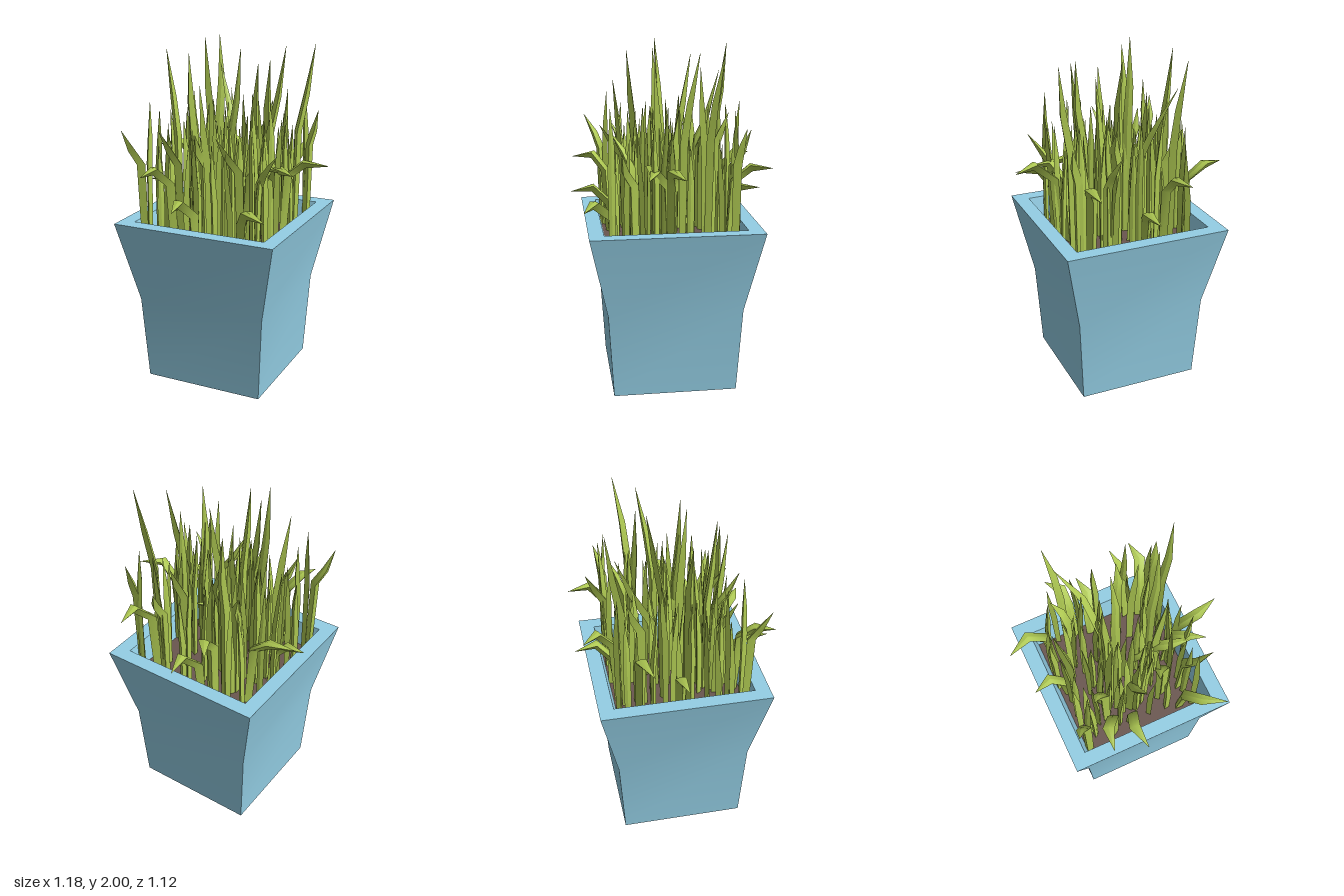
import * as THREE from 'three';
import { mergeGeometries } from 'three/addons/utils/BufferGeometryUtils.js';

const SOIL_Y = 0.84;
const POT_X = -0.016;

// Skin through rings of points: smooth along the length, sharp between sides.
function loft(rings) {
  const pos = [], index = [], n = rings[0].length;
  for (let k = 0; k < n; k++) {
    const base = pos.length / 3;
    rings.forEach((ring, i) => {
      pos.push(...ring[k].toArray(), ...ring[(k + 1) % n].toArray());
      if (i === 0) return;
      const a = base + 2 * (i - 1);
      index.push(a, a + 1, a + 3, a, a + 3, a + 2);
    });
  }
  const geometry = new THREE.BufferGeometry();
  geometry.setAttribute('position', new THREE.Float32BufferAttribute(pos, 3));
  geometry.setIndex(index);
  geometry.computeVertexNormals();
  return geometry;
}

// Horizontal square ring of half-width h at height y.
const square = (h, y) => [[h, h], [h, -h], [-h, -h], [-h, h]]
  .map(([x, z]) => new THREE.Vector3(x + POT_X, y, z));

// Four-sided blade that rises to yBend, then curves sideways and out to its tip.
function blade(fx, fz, tx, tz, yTip, yBend, width) {
  const dx = tx - fx, dz = tz - fz, len = Math.hypot(dx, dz);
  const droops = yTip - yBend < 0.15;
  const yMid = droops ? yTip + 0.025 : yBend + (yTip - yBend) * 0.45;
  const side = new THREE.Vector3(dz / len, 0, -dx / len);
  const path = [[0, SOIL_Y - 0.02, 0], [0.1, yBend, 0], [0.5, yMid, -0.12], [1, yTip, 0]]
    .map(([f, y, sweep]) => new THREE.Vector3(fx + dx * f, y, fz + dz * f)
      .addScaledVector(side, sweep * len));
  const widths = [0.85, 1, droops ? 1 : 0.8, 0.03];
  return loft(path.map((p, i) => {
    const t = path[Math.min(i + 1, 3)].clone().sub(path[Math.max(i - 1, 0)]).normalize();
    const up = t.cross(side).normalize();
    const w = widths[i] * width;
    return [[0.5, 0.05], [0, 0.15], [-0.5, 0.05], [0, -0.6]]
      .map(([s, u]) => p.clone().addScaledVector(side, s * w).addScaledVector(up, u * w));
  }));
}

// Blades that fold over: foot x, z, tip x, z, tip height.
const DROOPING = [
  [-0.32, -0.24, -0.59, -0.20, 1.29], [-0.33, -0.01, -0.54, 0.0, 1.12],
  [0.32, 0.02, 0.59, -0.02, 1.32], [-0.06, -0.31, -0.04, -0.56, 1.12],
  [0.26, -0.30, 0.30, -0.55, 1.31], [-0.16, -0.33, -0.24, -0.53, 1.3],
  [-0.20, 0.32, -0.29, 0.54, 1.29], [-0.08, 0.30, -0.09, 0.56, 1.12],
  [0.21, 0.33, 0.43, 0.51, 1.12], [0.12, 0.05, 0.38, 0.14, 1.3],
  [0.26, 0.02, 0.45, 0.16, 1.29], [0.04, 0.02, 0.23, 0.03, 1.13],
];
// Blades with leaning tips of medium height.
const LEANING = [
  [-0.37, 0.35, -0.45, 0.46, 1.52], [0.26, 0.22, 0.41, 0.30, 1.43],
  [0.17, 0.21, 0.07, 0.34, 1.5], [-0.20, 0.22, -0.30, 0.31, 1.5],
  [-0.05, 0.22, -0.03, 0.39, 1.52], [0.18, -0.33, 0.14, -0.46, 1.5],
  [0.08, -0.24, 0.12, -0.33, 1.6], [-0.22, -0.20, -0.29, -0.29, 1.55],
  [0.34, -0.33, 0.39, -0.38, 1.55],
];
// Tallest blades.
const TALL = [
  [0.32, -0.18, 0.41, -0.25, 1.96], [-0.22, -0.30, -0.26, -0.39, 1.96],
  [-0.10, 0.02, -0.13, 0.06, 2.0], [-0.02, -0.03, 0.0, -0.13, 1.92],
  [-0.31, 0.04, -0.39, 0.04, 1.92], [0.20, -0.05, 0.275, -0.14, 1.95],
  [0.17, 0.06, 0.21, 0.10, 1.88], [0.14, -0.20, 0.17, -0.16, 1.86],
  [-0.06, -0.10, -0.23, -0.34, 1.80], [-0.15, 0.16, -0.15, 0.22, 1.93],
  [-0.02, 0.24, -0.04, 0.31, 1.78],
];
// Foot positions (x, z) of the short upright blades.
const UPRIGHT = [
  -0.34, -0.31, -0.37, -0.18, -0.38, -0.07, -0.34, 0.05, -0.35, 0.15, -0.36, 0.21,
  -0.28, -0.08, -0.20, -0.08, -0.16, -0.22, -0.12, -0.31, 0.0, -0.36, -0.02, -0.24,
  0.04, -0.14, 0.16, -0.20, 0.24, -0.22, 0.35, -0.08, 0.23, -0.10, 0.17, -0.07,
  -0.09, -0.04, -0.19, 0.01, -0.08, 0.02, 0.0, 0.02, 0.08, 0.02, -0.22, 0.05,
  -0.17, 0.08, -0.11, 0.06, -0.05, 0.07, 0.0, 0.12, 0.07, 0.09, 0.06, 0.18,
  0.13, 0.15, 0.23, 0.18, -0.11, 0.14, -0.20, 0.13, -0.19, 0.21, -0.15, 0.29,
  -0.06, 0.21, 0.04, 0.30, 0.15, 0.31, 0.30, 0.35, -0.30, 0.30, -0.36, 0.34,
  -0.25, 0.24, 0.34, 0.0, 0.33, 0.11, -0.01, -0.08, -0.22, -0.24, 0.10, -0.27,
  0.17, -0.35, -0.11, -0.13, 0.33, -0.36, -0.10, 0.23, 0.28, 0.27, -0.30, -0.01,
  0.12, 0.03, 0.20, 0.05, 0.28, 0.06, -0.12, 0.19, 0.13, 0.24, -0.24, -0.15,
  -0.26, -0.35, 0.24, 0.01, -0.33, 0.27, 0.02, 0.22, 0.27, -0.28, 0.29, 0.17,
];

export function createModel() {
  const model = new THREE.Group();
  const material = (name, color) => {
    const m = new THREE.MeshStandardMaterial({ color });
    m.name = name;
    return m;
  };
  const blue = material('pot blue', 0x94cfe5);
  const brown = material('soil brown', 0x6a564f);
  const green = material('grass green', 0xb0cb53);
  const add = (name, geometry, mat, parent = model) => {
    const mesh = new THREE.Mesh(geometry, mat);
    mesh.name = name;
    parent.add(mesh);
    return mesh;
  };

  // Square flared pot
  const pot = new THREE.Group();
  pot.name = 'pot';
  model.add(pot);
  add('potWalls', loft([square(0.357, 0), square(0.386, 0.5), square(0.487, 0.98)]), blue, pot);
  add('potRim', loft([square(0.487, 0.98), square(0.402, 0.98)]), blue, pot);
  add('potInside', loft([square(0.402, 0.98), square(0.37, SOIL_Y)]), blue, pot);
  const base = add('potBase', new THREE.PlaneGeometry(0.714, 0.714), blue, pot);
  base.rotation.x = Math.PI / 2;
  base.position.x = POT_X;

  // Soil
  const soil = add('soil', new THREE.PlaneGeometry(0.74, 0.74), brown);
  soil.rotation.x = -Math.PI / 2;
  soil.position.set(POT_X, SOIL_Y, 0);

  // Grass
  let seed = 7;
  const random = () => (seed = (seed * 16807) % 2147483647) / 2147483647;
  const upright = [];
  for (let i = 0; i < UPRIGHT.length; i += 2) {
    const x = UPRIGHT[i], z = UPRIGHT[i + 1];
    const angle = random() * Math.PI * 2, lean = 0.02 + random() * 0.02;
    const top = 1.4 + random() * 0.28;
    upright.push(blade(x, z, x + Math.cos(angle) * lean, z + Math.sin(angle) * lean,
      top, top - 0.35, 0.042));
  }
  const grass = new THREE.Group();
  grass.name = 'grass';
  model.add(grass);
  const tuft = (name, rows, bend, width) => add(name,
    mergeGeometries(rows.map((r) => blade(...r, bend(r[4]), width))), green, grass);
  add('uprightBlades', mergeGeometries(upright), green, grass);
  tuft('droopingBlades', DROOPING, (y) => y - 0.07, 0.064);
  tuft('leaningBlades', LEANING, (y) => y - 0.2, 0.06);
  tuft('tallBlades', TALL, (y) => y - 0.5, 0.055);
  return model;
}
